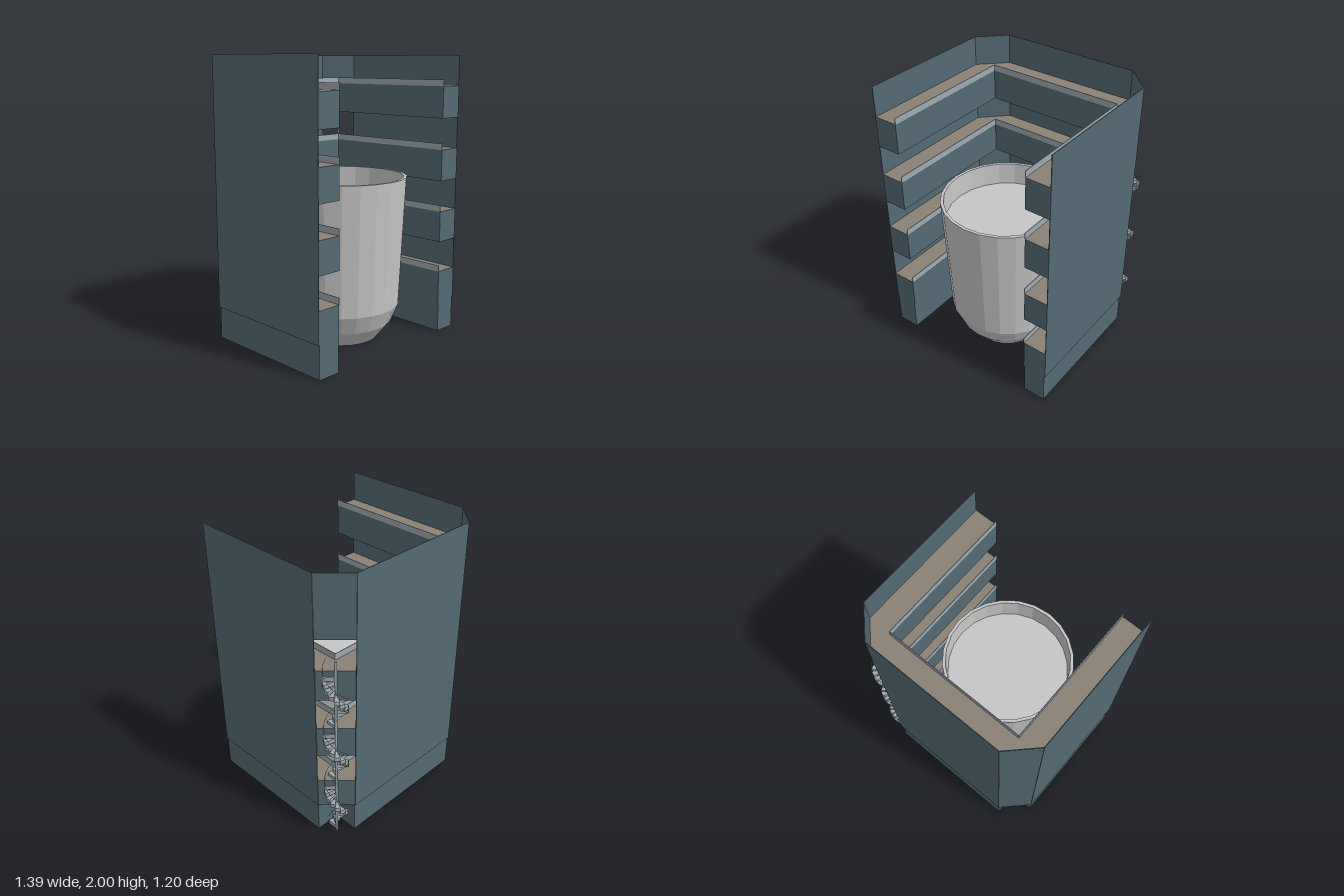
import * as THREE from 'three';

const mat = (name, color) => {
  const m = new THREE.MeshStandardMaterial({ color });
  m.name = name;
  return m;
};

export function createModel() {
  const slate = mat('slate wall', 0x546a74);
  const brown = mat('brown floor', 0x8a8075);
  const steel = mat('pale steel', 0x9fabb3);
  const grey = mat('tank grey', 0xc6c6c6);

  const model = new THREE.Group();
  const add = (name, geo, material, parent = model) => {
    const mesh = new THREE.Mesh(geo, material);
    mesh.name = name;
    parent.add(mesh);
    return mesh;
  };
  const group = (name) => {
    const g = new THREE.Group();
    g.name = name;
    model.add(g);
    return g;
  };

  // Thin upright panel between two plan points [x, z]
  const panel = (name, a, b, y0, y1, material, parent, t = 0.005) => {
    const dx = b[0] - a[0], dz = b[1] - a[1];
    const mesh = add(name, new THREE.BoxGeometry(Math.hypot(dx, dz), y1 - y0, t), material, parent);
    mesh.position.set((a[0] + b[0]) / 2, (y0 + y1) / 2, (a[1] + b[1]) / 2);
    mesh.rotation.y = -Math.atan2(dz, dx);
  };

  // Extrude a plan outline [x, z] upwards from y0 to y1
  const prism = (pts, y0, y1) => {
    const shape = new THREE.Shape(pts.map(([x, z]) => new THREE.Vector2(x, -z)));
    const geo = new THREE.ExtrudeGeometry(shape, { depth: y1 - y0, bevelEnabled: false });
    return geo.rotateX(-Math.PI / 2).translate(0, y0, 0);
  };

  // U-shaped plan with cut back corners
  const outer = [[-0.69, 0.6], [-0.69, -0.423], [-0.511, -0.6], [0.511, -0.6], [0.69, -0.423], [0.69, 0.6]];
  const inner = [[0.515, 0.6], [0.515, -0.423], [-0.515, -0.423], [-0.515, 0.6]];
  const plan = [...outer, ...inner];

  // Four gallery floors with a low rail along the inner edge
  const galleries = group('galleries');
  for (let i = 0; i < 4; i++) {
    const y0 = 0.23 + i * 0.444, y1 = y0 + 0.223;
    add('gallerySlab', prism(plan, y0, y1 - 0.004), slate, galleries);
    add('galleryFloor', prism(plan, y1 - 0.004, y1), [brown, slate], galleries);
    for (let k = 0; k < 3; k++) {
      panel('galleryRail', inner[k], inner[k + 1], y1, y1 + 0.045, steel, galleries);
    }
  }

  // Outer walls; the corner by the stair is open below the top storey
  const walls = group('outerWalls');
  const shell = outer.map(([x, z]) => [x * 1.003, z < -0.5 ? z - 0.002 : z]);
  for (let k = 0; k < 5; k++) {
    panel('wallPanel', shell[k], shell[k + 1], k === 3 ? 1.562 : 0.23, 2, slate, walls);
  }

  // Ground storey: three separate blocks, corners left open
  const base = group('groundBlocks');
  for (const s of [-1, 1]) {
    add('sideBlock', new THREE.BoxGeometry(0.165, 0.23, 1.018), slate, base).position.set(s * 0.604, 0.115, 0.091);
  }
  add('backBlock', new THREE.BoxGeometry(1.022, 0.23, 0.172), slate, base).position.set(0, 0.115, -0.51);

  // Faceted tank with a recessed lid
  const profile = [[0, 0], [0.27, 0], [0.365, 0.12], [0.42, 0.25], [0.464, 1.165], [0.442, 1.165], [0.434, 1.0], [0, 1.0]]
    .map(([r, y]) => new THREE.Vector2(r, y));
  const tank = new THREE.LatheGeometry(profile, 24).toNonIndexed();
  tank.computeVertexNormals();
  add('tank', tank, grey).position.z = 0.111;

  // Spiral stair: one turn per storey, three turns
  const stair = group('spiralStair');
  stair.position.set(0.604, 0, -0.514);
  const R = 0.083, perTurn = 14, rise = 0.444 / perTurn, step = (Math.PI * 2) / perTurn;
  const dir = (t, r) => [-Math.sin(t) * r, Math.cos(t) * r];
  add('stairPole', new THREE.CylinderGeometry(0.009, 0.009, 1.41, 10), steel, stair).position.y = 0.705;
  for (let i = 0; i < perTurn * 3; i++) {
    const t = i * step;
    const wedge = [[0, 0], dir(t, R), dir(t + step / 2, R), dir(t + step, R)];
    add('stairTread', prism(wedge, i * rise, (i + 0.95) * rise), steel, stair);
  }

  // Thin handrail following the treads
  const railPoints = [];
  for (let i = 0; i <= perTurn * 3; i++) {
    const [x, z] = dir(i * step, R - 0.003);
    railPoints.push(new THREE.Vector3(x, i * rise + 0.075, z));
  }
  const railPath = new THREE.CatmullRomCurve3(railPoints);
  add('stairHandrail', new THREE.TubeGeometry(railPath, 126, 0.0018, 5), steel, stair);

  return model;
}
